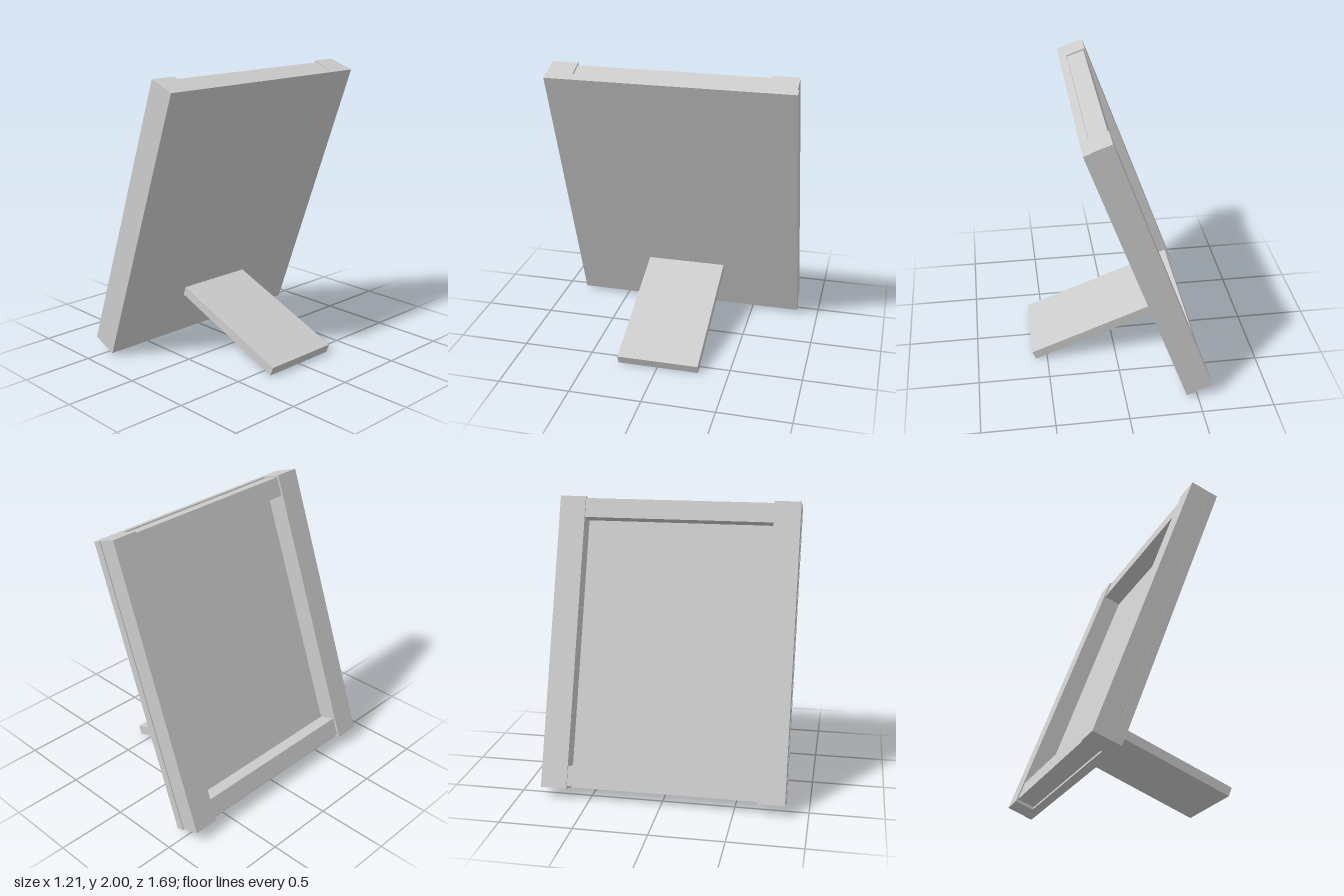
import * as THREE from 'three';

const material = new THREE.MeshStandardMaterial({ color: 0xcccccc, flatShading: true });

// Box given by its [min, max] range on each axis
function slab(name, [x0, x1], [y0, y1], [z0, z1]) {
  const geometry = new THREE.BoxGeometry(x1 - x0, y1 - y0, z1 - z0);
  geometry.translate((x0 + x1) / 2, (y0 + y1) / 2, (z0 + z1) / 2);
  const mesh = new THREE.Mesh(geometry, material);
  mesh.name = name;
  return mesh;
}

export function createModel() {
  const model = new THREE.Group();
  model.name = 'pictureFrame';

  // Leaning frame: local y runs up the frame, its open face looks to -x
  const height = 2.037;
  const frame = new THREE.Group();
  frame.name = 'leaningFrame';
  frame.position.set(-0.475, 0.04, 0);
  frame.rotation.z = THREE.MathUtils.degToRad(-20);
  model.add(frame);

  // Backing board
  frame.add(slab('backingBoard', [0, 0.056], [0, height], [-0.846, 0.846]));

  // Upright side bars, slightly uneven
  frame.add(slab('leftStile', [-0.14, 0], [0, height], [0.662, 0.844]));
  frame.add(slab('rightStile', [-0.134, 0], [0, height], [-0.838, -0.656]));

  // Cross bars, set back a little from the stiles
  const between = [-0.656, 0.662];
  frame.add(slab('bottomRail', [-0.125, 0], [0.02, 0.154], between));
  frame.add(slab('topRail', [-0.125, 0], [1.892, 2.026], between));

  // Rear prop
  const leg = slab('supportLeg', [-0.4755, 0.4755], [-0.0335, 0.0335], [-0.292, 0.279]);
  leg.position.set(0.151, 0.206, 0);
  leg.rotation.z = THREE.MathUtils.degToRad(-21.3);
  model.add(leg);

  return model;
}
